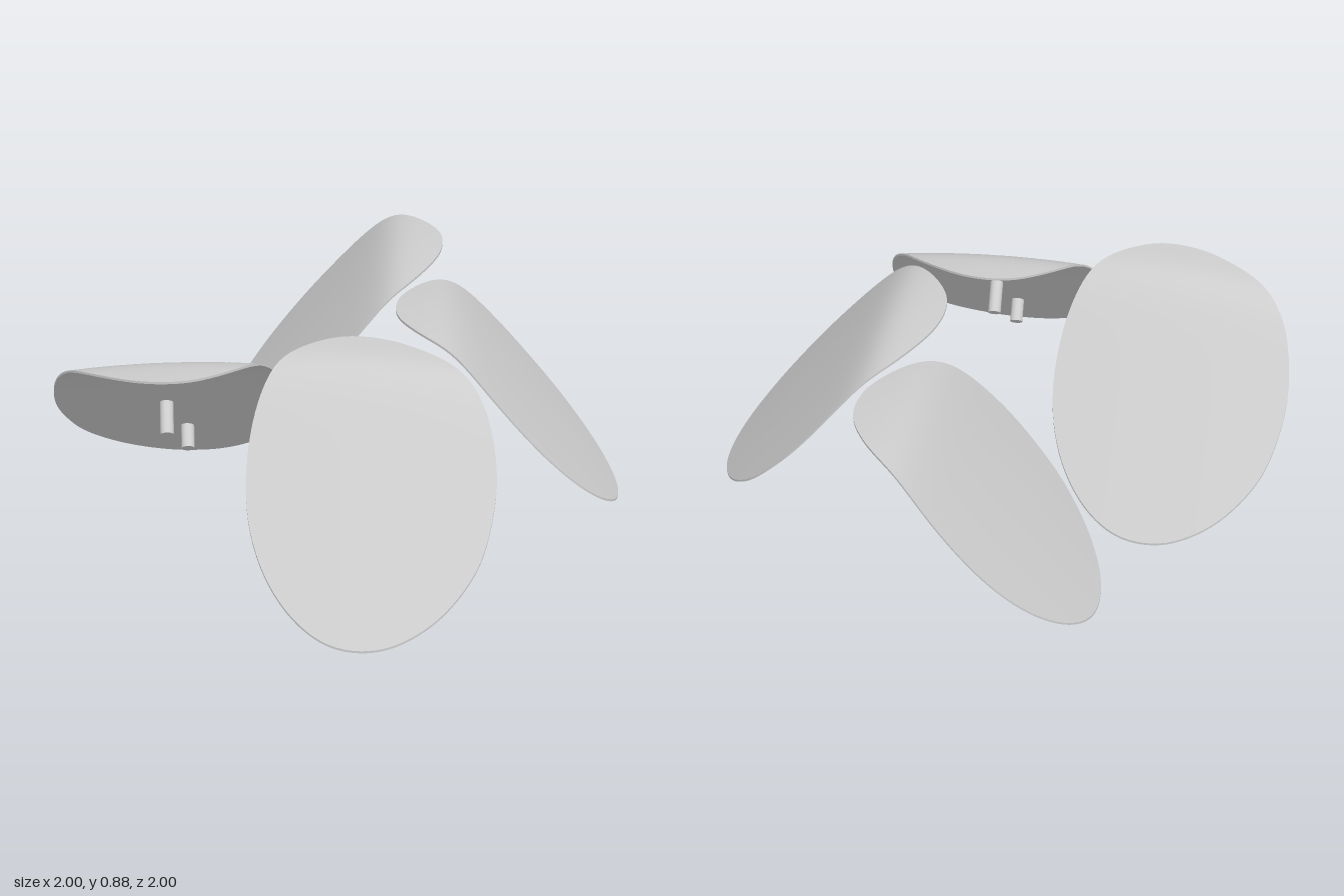
import * as THREE from 'three';
import { toCreasedNormals } from 'three/addons/utils/BufferGeometryUtils.js';

const THICK = 0.01;

// Height of the bent panel: nearly level lip rolling into a steep, slightly domed slope
function height(x, z) {
  const s = 0.59 * x + 0.807 * z;   // along the slope
  const t = -0.807 * x + 0.59 * z;  // across the slope
  const k = 0.05;
  const bend = 0.865 - k * Math.log(1 + Math.exp((1.15 * s + 0.325) / k));
  return bend + 0.06 * t - 0.13 * t * t;
}

// Rounded plan outline of one panel
const outline = new THREE.CatmullRomCurve3([
  [0.485, -0.06], [0.445, 0.14], [0.33, 0.33], [0.17, 0.448], [0, 0.485], [-0.18, 0.455],
  [-0.33, 0.36], [-0.445, 0.18], [-0.485, -0.04], [-0.455, -0.22], [-0.385, -0.35], [-0.24, -0.445],
  [0, -0.485], [0.15, -0.468], [0.28, -0.42], [0.4, -0.315], [0.465, -0.18],
].map(([x, z]) => new THREE.Vector3(x, 0, z)), true);

// Thin shell: rings out over the top, round the rim and back underneath
function panelGeometry() {
  const n = 96, rings = 20;
  const edge = outline.getSpacedPoints(n);
  const pos = [], index = [];
  const total = 2 * rings + 2;
  for (let i = 0; i < total; i++) {
    const top = i <= rings;
    const r = (top ? i : total - 1 - i) / rings;
    for (let j = 0; j <= n; j++) {
      const x = edge[j].x * r, z = edge[j].z * r;
      pos.push(x, height(x, z) - (top ? 0 : THICK), z);
    }
  }
  for (let i = 0; i < total - 1; i++) {
    for (let j = 0; j < n; j++) {
      const a = i * (n + 1) + j, c = a + n + 1;
      if (i < total - 2) index.push(a, c + 1, c);
      if (i > 0) index.push(a, a + 1, c + (i < total - 2 ? 1 : 0));
    }
  }
  const g = new THREE.BufferGeometry();
  g.setAttribute('position', new THREE.Float32BufferAttribute(pos, 3));
  g.setIndex(index);
  g.computeBoundingBox();
  const floor = g.boundingBox.min.y;
  g.translate(0, -floor, 0);
  return { geometry: toCreasedNormals(g, 0.7), floor };
}

export function createModel() {
  const model = new THREE.Group();
  const grey = new THREE.MeshStandardMaterial({ color: 0xcccccc });
  grey.name = 'light grey';
  const { geometry, floor } = panelGeometry();

  // Pegs stand on the underside, square to the slope
  const down = new THREE.Vector3(-0.5, -0.65, -0.56).normalize();
  const turn = new THREE.Quaternion().setFromUnitVectors(new THREE.Vector3(0, 1, 0), down);
  const pegs = [['longPeg', 0.075, 0.02, 0.15], ['shortPeg', 0.141, 0.214, 0.11]];

  // Four panels, each turned a quarter from its neighbour
  const places = [
    ['frontLeftPanel', 1, 1, 0],
    ['frontRightPanel', -1, 1, -Math.PI / 2],
    ['backLeftPanel', 1, -1, Math.PI],
    ['backRightPanel', -1, -1, Math.PI / 2],
  ];
  for (const [name, sx, sz, angle] of places) {
    const unit = new THREE.Group();
    unit.name = name;
    const panel = new THREE.Mesh(geometry, grey);
    panel.name = 'bentPanel';
    unit.add(panel);
    for (const [pegName, x, z, length] of pegs) {
      const peg = new THREE.Mesh(new THREE.CylinderGeometry(0.029, 0.029, length, 24), grey);
      peg.name = pegName;
      peg.quaternion.copy(turn);
      peg.position.set(x, height(x, z) - floor - THICK / 2, z).addScaledVector(down, length / 2);
      unit.add(peg);
    }
    unit.rotation.y = angle;
    unit.position.set(sx * 0.515, 0, sz * 0.515);
    model.add(unit);
  }
  return model;
}
